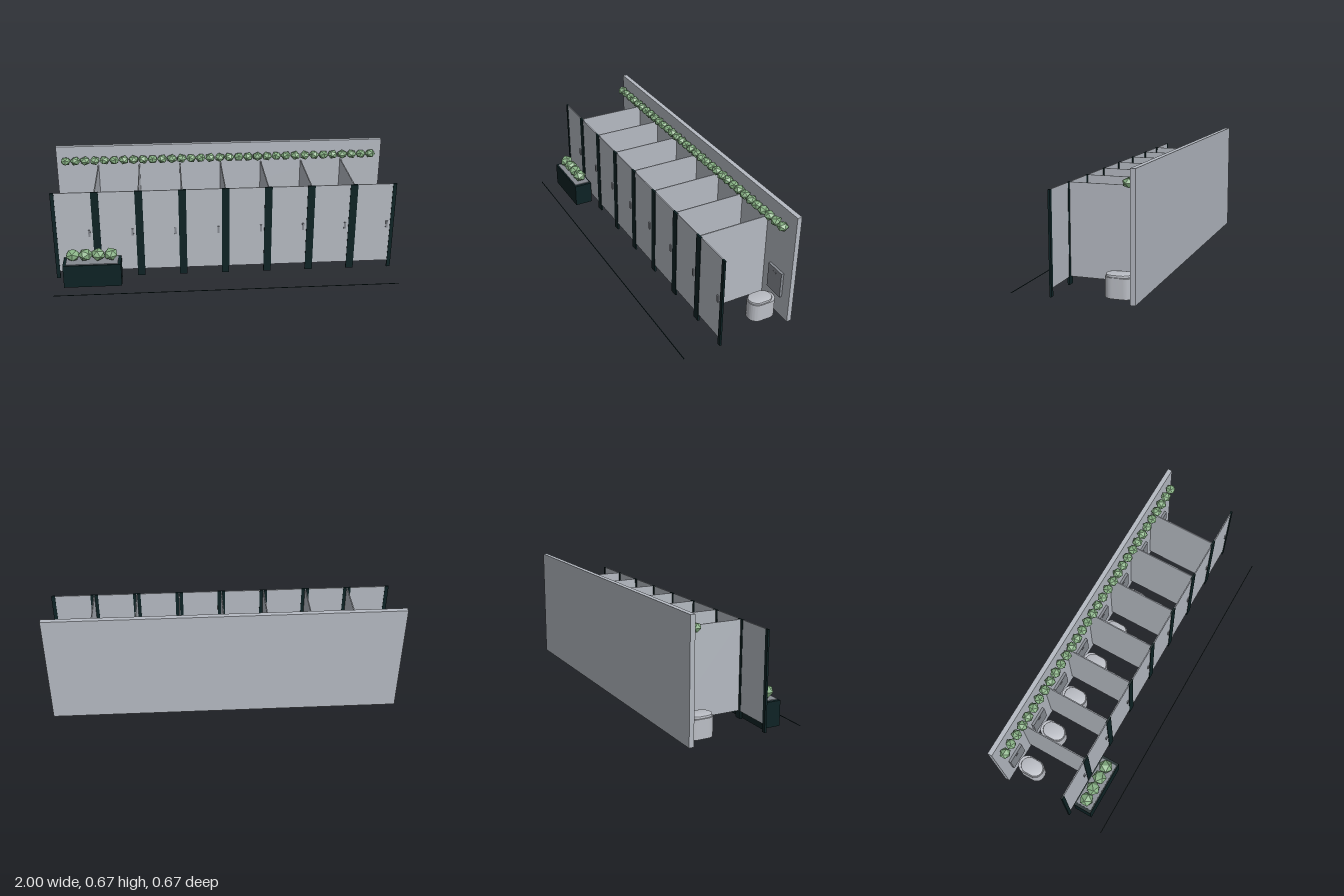
import * as THREE from 'three';
import { toCreasedNormals } from 'three/addons/utils/BufferGeometryUtils.js';

const mat = (name, color, extra = {}) => {
  const m = new THREE.MeshStandardMaterial({ color, ...extra });
  m.name = name;
  return m;
};

export function createModel() {
  const group = new THREE.Group();
  const panel = mat('light grey panel', 0xb5bac2);
  const ceramic = mat('ceramic', 0xbbbec5);
  const metal = mat('grey metal', 0x868a91);
  const dark = mat('dark frame', 0x0d2224);
  const leaf = mat('leaf green', 0x86b083, { flatShading: true });

  const add = (name, geo, material, x = 0, y = 0, z = 0) => {
    const mesh = new THREE.Mesh(geo, material);
    mesh.name = name;
    mesh.position.set(x, y, z);
    group.add(mesh);
    return mesh;
  };
  // Box given by its limits on each axis
  const box = (name, material, x0, x1, y0, y1, z0, z1) =>
    add(name, new THREE.BoxGeometry(x1 - x0, y1 - y0, z1 - z0), material,
      (x0 + x1) / 2, (y0 + y1) / 2, (z0 + z1) / 2);

  // Upright solid with a rounded plan, standing on y = 0
  const roundedPlan = (w, d, h, r, bevel) => {
    const a = w / 2 - bevel, b = d / 2 - bevel, s = new THREE.Shape();
    r = Math.min(r, a);
    s.absarc(a - r, b - r, r, 0, Math.PI / 2);
    s.absarc(r - a, b - r, r, Math.PI / 2, Math.PI);
    s.absarc(r - a, r - b, r, Math.PI, Math.PI * 1.5);
    s.absarc(a - r, r - b, r, Math.PI * 1.5, Math.PI * 2);
    const g = new THREE.ExtrudeGeometry(s, {
      depth: h - 2 * bevel, curveSegments: 10, bevelEnabled: bevel > 0,
      bevelSize: bevel, bevelThickness: bevel, bevelSegments: 2,
    });
    g.translate(0, 0, bevel).rotateX(-Math.PI / 2);
    return toCreasedNormals(g, 0.6);
  };

  // Back wall and thin floor line
  box('backWall', panel, -1, 1, 0, 0.667, -0.333, -0.306);
  box('floorLine', dark, -1, 1, 0, 0.002, 0.328, 0.333);

  // Dividing walls and front posts
  for (let i = 0; i <= 8; i++) {
    const x = -1 + i * 0.25;
    box('post', dark, Math.max(-1, x - 0.022), Math.min(1, x + 0.022), 0, 0.543, 0.107, 0.118);
    if (i > 0 && i < 8) box('partition', panel, x - 0.003, x + 0.003, 0.043, 0.543, -0.306, 0.107);
  }

  // Stalls: door, handle, toilet, flush plate
  const bowl = roundedPlan(0.107, 0.157, 0.107, 0.05, 0);
  const lid = roundedPlan(0.097, 0.137, 0.015, 0.045, 0.004);
  for (let i = 0; i < 8; i++) {
    const x = -0.875 + i * 0.25;
    box('door', panel, x - 0.103, x + 0.103, 0.043, 0.543, 0.109, 0.115);
    box('doorHandle', metal, x + 0.077, x + 0.089, 0.265, 0.307, 0.115, 0.121);
    add('toiletBowl', bowl, ceramic, x, 0, -0.2135);
    add('toiletLid', lid, ceramic, x, 0.105, -0.2065);
    box('flushPlate', metal, x - 0.06, x + 0.06, 0.127, 0.28, -0.306, -0.291);
    box('flushButton', metal, x - 0.012, x + 0.012, 0.252, 0.258, -0.291, -0.289);
  }

  // Faceted plants
  const plant = (name, r, x, y, z, turn) => {
    const m = add(name, new THREE.IcosahedronGeometry(r, 0), leaf, x, y, z);
    m.scale.y = 0.85;
    m.rotation.y = turn;
  };

  // Planter box with its plants
  box('planter', dark, -0.947, -0.613, 0, 0.14, 0.127, 0.237);
  box('planterBed', metal, -0.93, -0.63, 0.14, 0.144, 0.135, 0.229);
  for (let i = 0; i < 4; i++) plant('planterPlant', 0.043, -0.89 + i * 0.073, 0.182, 0.182, i * 0.7);

  // Row of plants along the back wall
  for (let i = 0; i < 33; i++) plant('wallPlant', 0.032, -0.942 + i * 0.0584, 0.586, -0.273, i * 0.7);

  return group;
}
